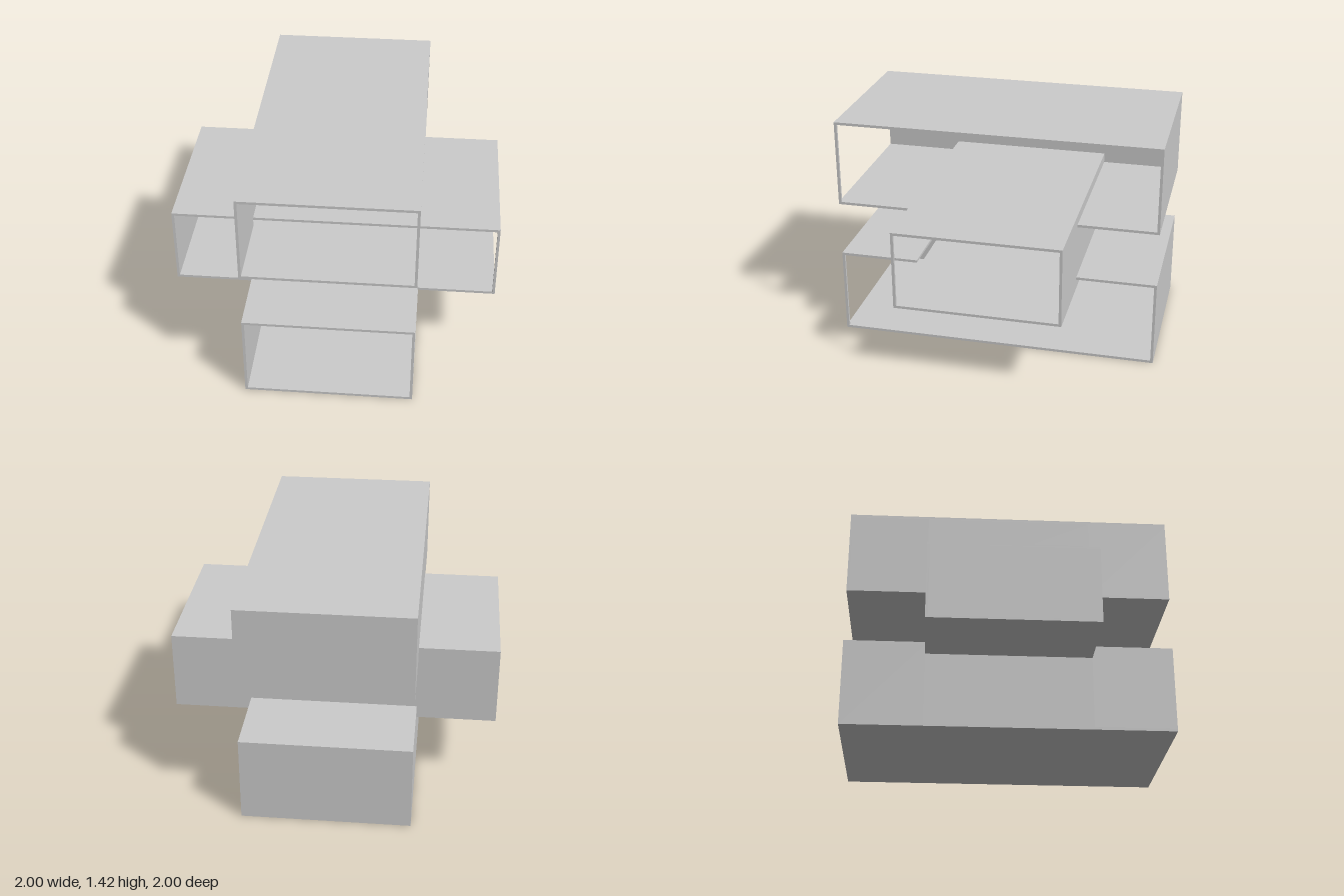
import * as THREE from 'three';

const T = 0.016;                      // panel thickness
const X0 = -0.512, X1 = 0.521;        // width of the two long boxes
const Z0 = -0.508, Z1 = 0.506;        // depth of the crossing box
const H = 1.422;                      // total height
const M0 = 0.465, M1 = 0.957;         // crossing box, bottom and top
const LOW = 0.542;                    // height of the lower box

export function createModel() {
  const model = new THREE.Group();
  const material = new THREE.MeshStandardMaterial({ color: 0xcccccc });

  // Panel between two corners
  const panel = (parent, name, x0, x1, y0, y1, z0, z1) => {
    const mesh = new THREE.Mesh(new THREE.BoxGeometry(x1 - x0, y1 - y0, z1 - z0), material);
    mesh.position.set((x0 + x1) / 2, (y0 + y1) / 2, (z0 + z1) / 2);
    mesh.name = name;
    parent.add(mesh);
  };

  // Crossing box: open at the front and the +x end, closed at the back and -x end
  const middle = new THREE.Group();
  middle.name = 'middleBox';
  panel(middle, 'middleFloor', -1, 1, M0, M0 + T, Z0, Z1);
  panel(middle, 'middleCeiling', -1, 1, M1 - T, M1, Z0, Z1);
  panel(middle, 'middleBackWall', -1, 1, M0 + T, M1 - T, Z0, Z0 + T);
  panel(middle, 'middleEndWall', -1, -1 + T, M0 + T, M1 - T, Z0 + T, Z1);
  panel(middle, 'middleCornerPost', 1 - T, 1, M0 + T, M1 - T, Z1 - T, Z1);
  model.add(middle);

  // Long boxes: the upper one is the lower one turned over about mid height
  for (const [name, flip] of [['lower', false], ['upper', true]]) {
    const box = new THREE.Group();
    box.name = name + 'Box';
    const add = (part, x0, x1, y0, y1, z0, z1) =>
      panel(box, name + part, x0, x1, flip ? H - y1 : y0, flip ? H - y0 : y1, z0, z1);

    add('OuterPlate', X0, X1, 0, T, -1, 1);
    // Inner plate stops where the crossing box passes through
    add('InnerPlateFront', X0, X1, LOW - T, LOW, Z1, 1);
    add('InnerPlateBack', X0, X1, LOW - T, LOW, -1, Z0);
    add('BackWall', X0, X1, T, LOW - T, -1, -1 + T);
    // Side wall with a notch for the crossing box
    add('SideWallFront', X0, X0 + T, T, LOW - T, Z1, 1);
    add('SideWallMiddle', X0, X0 + T, T, M0, Z0, Z1);
    add('SideWallBack', X0, X0 + T, T, LOW - T, -1 + T, Z0);
    add('CornerPost', X1 - T, X1, T, LOW - T, 1 - T, 1);
    model.add(box);
  }
  return model;
}
